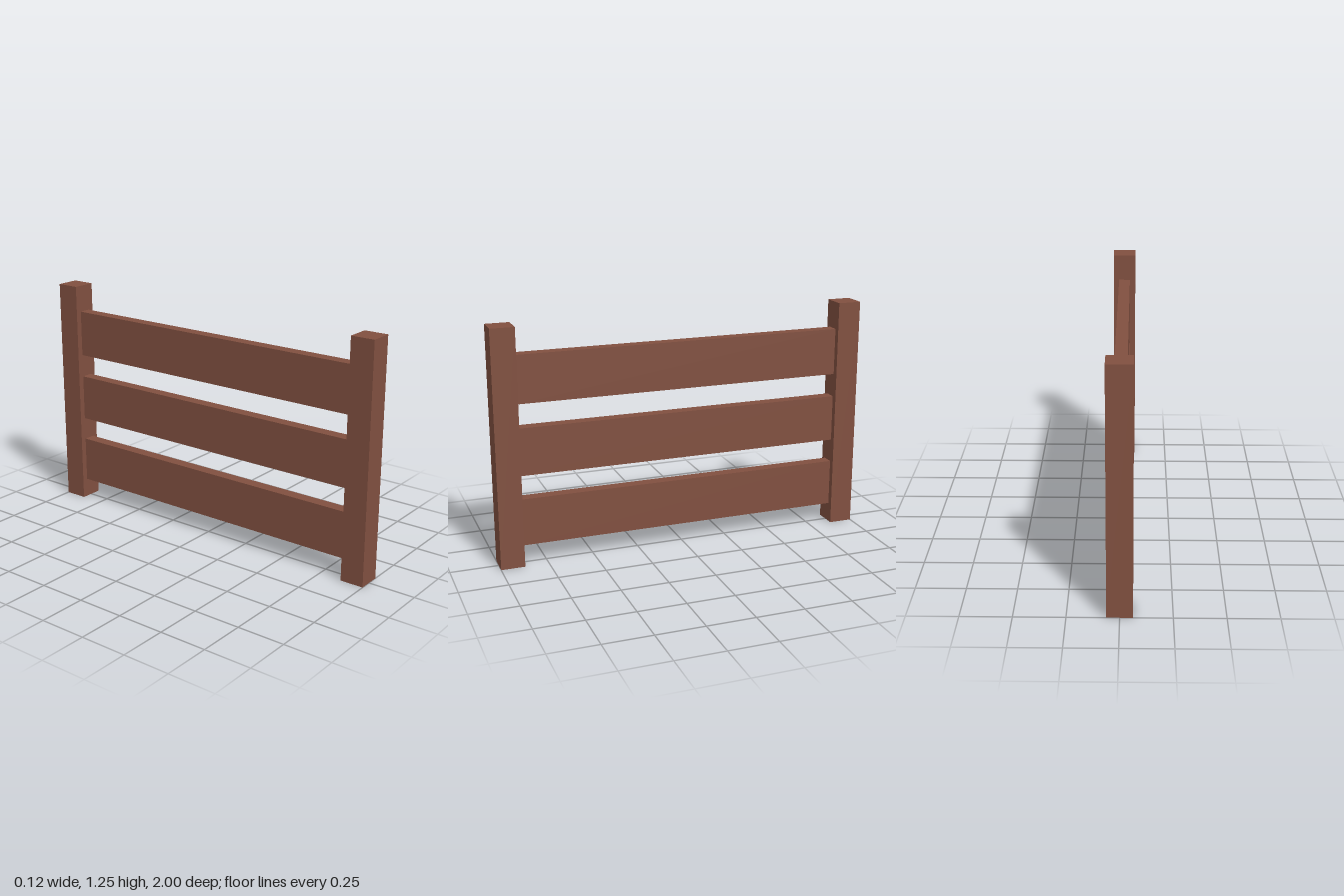
import * as THREE from 'three';

const POST = 0.125, HEIGHT = 1.25, LENGTH = 2;

export function createModel() {
  const fence = new THREE.Group();
  fence.name = 'fence';
  const wood = new THREE.MeshStandardMaterial({ color: 0x815040, flatShading: true });

  const addBox = (name, w, h, d, y, z) => {
    const mesh = new THREE.Mesh(new THREE.BoxGeometry(w, h, d), wood);
    mesh.name = name;
    mesh.position.set(0, y, z);
    fence.add(mesh);
  };

  // Square end posts
  addBox('frontPost', POST, HEIGHT, POST, HEIGHT / 2, (LENGTH - POST) / 2);
  addBox('backPost', POST, HEIGHT, POST, HEIGHT / 2, -(LENGTH - POST) / 2);

  // Three flat rails, spanning between the posts
  ['lowerRail', 'middleRail', 'upperRail'].forEach((name, i) =>
    addBox(name, POST / 2, 0.25, LENGTH - 2 * POST, 0.23 + i * 0.375, 0));

  return fence;
}
